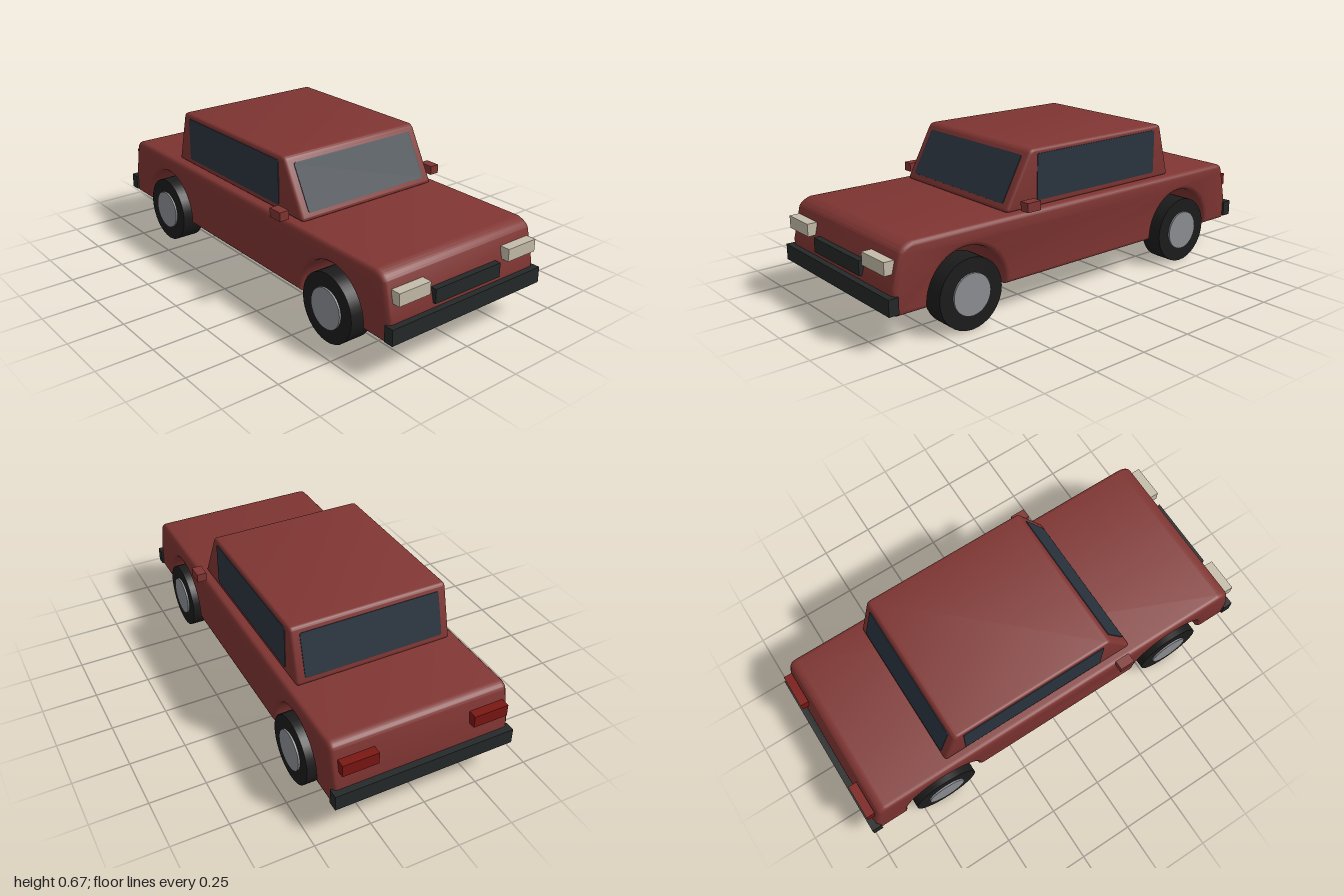
import * as THREE from 'three';
import { toCreasedNormals } from 'three/addons/utils/BufferGeometryUtils.js';

const paint = (color) => new THREE.MeshStandardMaterial({ color });
const red = paint(0x7f3532), glass = paint(0x2a343f), rubber = paint(0x1c1c1c), trim = paint(0x252828);
const metal = paint(0x8c8e93), lamp = paint(0xc4bca9), tailRed = paint(0x7a1612);

// Closed polygon with corners rounded by distance r
function roundedShape(points, r) {
  const pts = points.map(([x, y]) => new THREE.Vector2(x, y));
  const n = pts.length;
  const s = new THREE.Shape();
  const toward = (a, b) => a.clone().add(b.clone().sub(a).setLength(r));
  pts.forEach((p, i) => {
    const a = toward(p, pts[(i + n - 1) % n]), b = toward(p, pts[(i + 1) % n]);
    if (i === 0) s.moveTo(a.x, a.y); else s.lineTo(a.x, a.y);
    s.quadraticCurveTo(p.x, p.y, b.x, b.y);
  });
  s.closePath();
  return s;
}

// Side profile (z, y) extruded across the car, bevelled inside its outline
function acrossCar(shape, halfWidth, bevel) {
  const g = new THREE.ExtrudeGeometry(shape, {
    depth: 2 * (halfWidth - bevel), curveSegments: 16, bevelEnabled: true,
    bevelSize: bevel, bevelThickness: bevel, bevelOffset: -bevel, bevelSegments: 3,
  });
  g.translate(0, 0, -(halfWidth - bevel));
  g.rotateY(-Math.PI / 2);
  return toCreasedNormals(g, 0.55);
}

export function createModel() {
  const car = new THREE.Group();
  car.name = 'car';
  const add = (name, geometry, material, x = 0, y = 0, z = 0) => {
    const m = new THREE.Mesh(geometry, material);
    m.name = name;
    m.position.set(x, y, z);
    car.add(m);
    return m;
  };
  const block = (name, material, w, h, d, x, y, z) => add(name, new THREE.BoxGeometry(w, h, d), material, x, y, z);

  // Lower body with wheel arches running right through
  const axleZ = 0.625, axleY = 0.153, archR = 0.192, bottom = 0.14;
  const dip = Math.asin((axleY - bottom) / archR), reach = archR * Math.cos(dip);
  const body = new THREE.Shape();
  body.moveTo(-0.955, bottom);
  for (const z of [-axleZ, axleZ]) {
    body.lineTo(z - reach, bottom);
    body.absarc(z, axleY, archR, Math.PI + dip, -dip, true);
  }
  body.lineTo(0.955, bottom);
  body.quadraticCurveTo(0.972, 0.14, 0.972, 0.16);
  body.lineTo(0.972, 0.25);
  body.lineTo(0.938, 0.39);
  body.quadraticCurveTo(0.925, 0.415, 0.88, 0.426);
  body.lineTo(-0.895, 0.426);
  body.quadraticCurveTo(-0.93, 0.422, -0.937, 0.395);
  body.lineTo(-0.97, 0.25);
  body.lineTo(-0.97, 0.16);
  body.quadraticCurveTo(-0.97, 0.14, -0.955, bottom);
  add('body', acrossCar(body, 0.404, 0.02), red);

  // Cabin
  const cabin = roundedShape([[-0.578, 0.424], [0.403, 0.424], [0.268, 0.673], [-0.512, 0.673]], 0.022);
  add('cabin', acrossCar(cabin, 0.362, 0.014), red);

  // Window panes, set just proud of the cabin
  const pane = (name, w, h, x, y, z, turn, tilt) => {
    const s = roundedShape([[-w / 2, -h / 2], [w / 2, -h / 2], [w / 2, h / 2], [-w / 2, h / 2]], 0.01);
    const g = new THREE.ExtrudeGeometry(s, { depth: 0.008, bevelEnabled: false, curveSegments: 4 });
    g.translate(0, 0, -0.005);
    add(name, g, glass, x, y, z).rotation.set(tilt, turn, 0, 'YXZ');
  };
  pane('windshield', 0.645, 0.216, 0, 0.55, 0.335, 0, -0.497);
  pane('rearWindow', 0.645, 0.197, 0, 0.55, -0.545, Math.PI, -0.259);

  for (const side of [-1, 1]) {
    const label = side > 0 ? 'left' : 'right';
    pane(label + 'SideWindow', 0.705, 0.2, side * 0.362, 0.551, -0.118, side * Math.PI / 2, 0);
    block(label + 'Mirror', red, 0.045, 0.04, 0.07, side * 0.426, 0.46, 0.323);
    block(label + 'Headlight', lamp, 0.16, 0.055, 0.045, side * 0.297, 0.333, 0.97);
    block(label + 'TailLight', tailRed, 0.16, 0.055, 0.04, side * 0.297, 0.333, -0.967);

    // Wheels with hub discs
    for (const end of [-1, 1]) {
      const where = label + (end > 0 ? 'Front' : 'Rear');
      const disc = (name, r, w, material, x) => {
        const g = new THREE.CylinderGeometry(r, r, w, 32);
        g.rotateZ(Math.PI / 2);
        add(name, g, material, side * x, axleY, end * axleZ);
      };
      disc(where + 'Tire', 0.153, 0.105, rubber, 0.3675);
      disc(where + 'Hub', 0.09, 0.02, metal, 0.418);
    }
  }

  // Bumpers and grille
  block('frontBumper', trim, 0.824, 0.07, 0.045, 0, 0.19, 0.9775);
  block('rearBumper', trim, 0.824, 0.07, 0.045, 0, 0.19, -0.9775);
  block('grille', trim, 0.36, 0.063, 0.035, 0, 0.279, 0.968);

  return car;
}
